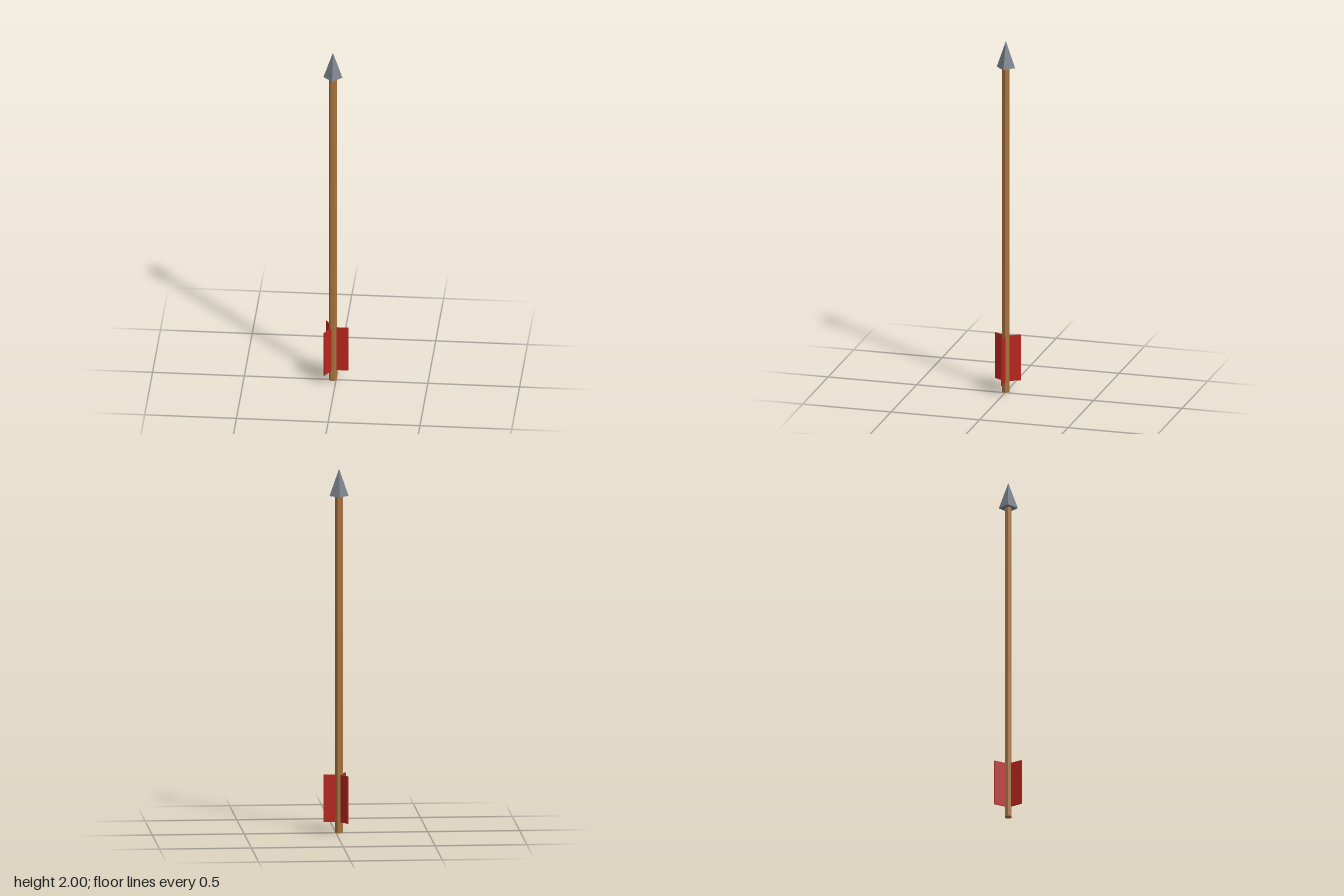
import * as THREE from 'three';

const AXIS_X = -0.017; // shaft axis, offset so the three fins balance about x = 0

function part(name, geometry, color) {
  const material = new THREE.MeshStandardMaterial({ color, flatShading: true });
  const mesh = new THREE.Mesh(geometry, material);
  mesh.name = name;
  return mesh;
}

export function createModel() {
  const arrow = new THREE.Group();
  arrow.name = 'arrow';
  arrow.position.x = AXIS_X;

  // Six-sided wooden shaft with corners on the x axis
  const shaft = part('shaft', new THREE.CylinderGeometry(0.021, 0.021, 1.85, 6, 1, false, Math.PI / 6), 0xa9743f);
  shaft.position.y = 0.925;
  arrow.add(shaft);

  // Four-sided pyramid head
  const head = part('arrowhead', new THREE.ConeGeometry(0.052, 0.15, 4), 0x7c838e);
  head.position.y = 1.925;
  arrow.add(head);

  // Three thin fins, evenly spaced around the shaft
  const inner = 0.01, outer = 0.085, bottom = 0.06, top = 0.32;
  const finGeometry = new THREE.BoxGeometry(outer - inner, top - bottom, 0.005);
  finGeometry.translate((inner + outer) / 2, (bottom + top) / 2, 0);
  for (let i = 0; i < 3; i++) {
    const fin = part(`fin${i + 1}`, finGeometry, 0xb8261e);
    fin.rotation.y = (i * Math.PI * 2) / 3;
    arrow.add(fin);
  }

  const model = new THREE.Group();
  model.add(arrow);
  return model;
}
